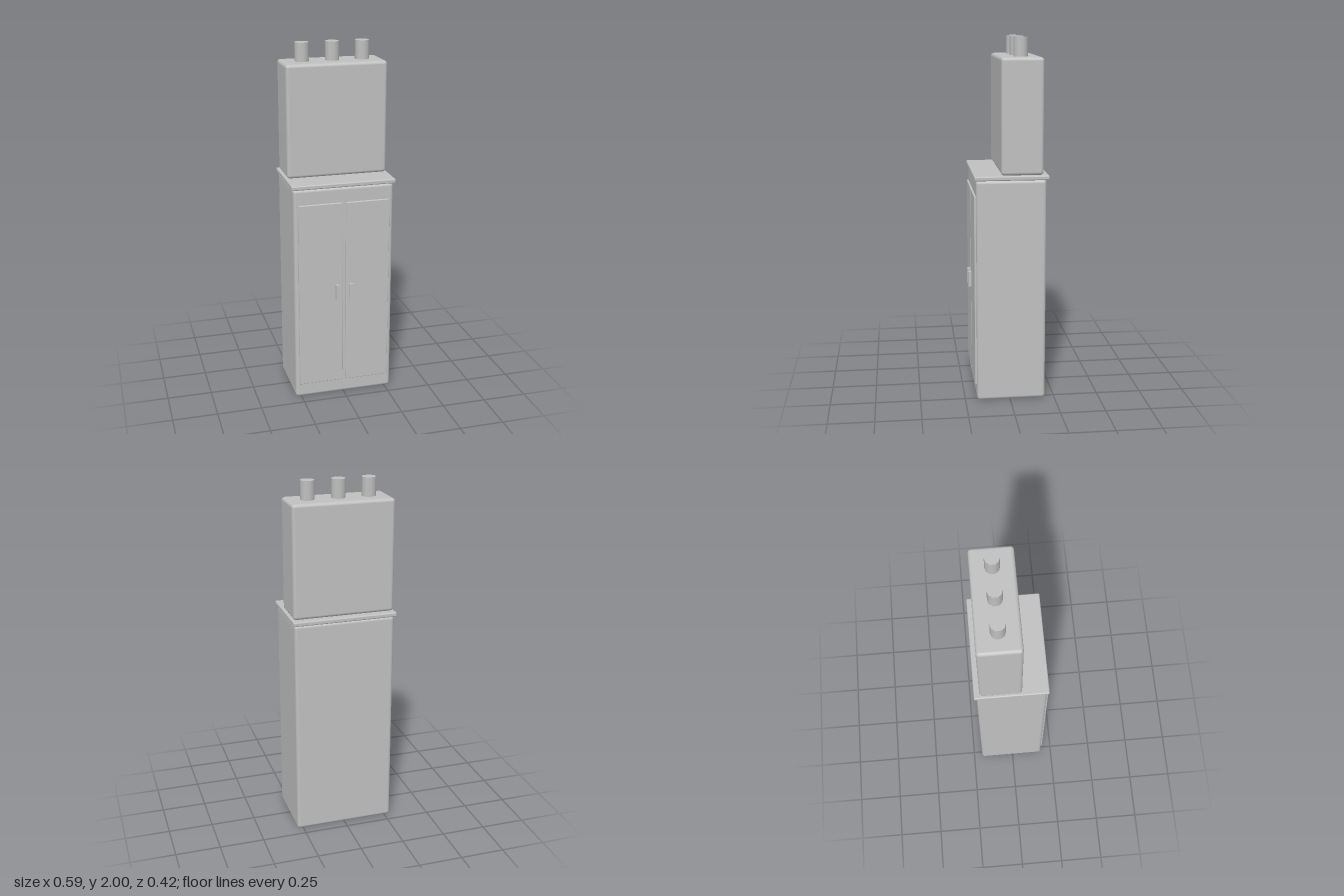
import * as THREE from 'three';
import { RoundedBoxGeometry } from 'three/addons/geometries/RoundedBoxGeometry.js';

const gray = new THREE.MeshStandardMaterial({ color: 0xc0c0c0 });
gray.name = 'light gray';

// Box given by its [min, max] range on each axis, with rounded edges
function addBlock(parent, name, [x0, x1], [y0, y1], [z0, z1], radius) {
  const w = x1 - x0, h = y1 - y0, d = z1 - z0;
  const geometry = radius > 0
    ? new RoundedBoxGeometry(w, h, d, 3, radius)
    : new THREE.BoxGeometry(w, h, d);
  const mesh = new THREE.Mesh(geometry, gray);
  mesh.name = name;
  mesh.position.set((x0 + x1) / 2, (y0 + y1) / 2, (z0 + z1) / 2);
  parent.add(mesh);
}

export function createModel() {
  const group = new THREE.Group();
  group.name = 'cabinetWithTank';

  // Base cabinet, overhanging worktop and the tank set towards the back
  addBlock(group, 'cabinet', [-0.283, 0.283], [0, 1.247], [-0.198, 0.184], 0.018);
  addBlock(group, 'worktop', [-0.293, 0.293], [1.247, 1.272], [-0.212, 0.194], 0.007);
  addBlock(group, 'tank', [-0.283, 0.283], [1.272, 1.897], [-0.181, 0.048], 0.018);

  // Pair of doors with handles beside the middle gap
  for (const [side, s] of [['left', 1], ['right', -1]]) {
    const range = (a, b) => (s > 0 ? [a, b] : [-b, -a]);
    addBlock(group, side + 'Door', range(0.01, 0.26), [0.083, 1.16], [0.17, 0.194], 0.004);
    addBlock(group, side + 'Handle', range(0.029, 0.051), [0.595, 0.682], [0.185, 0.212], 0);
  }

  // Three ten-sided pipe stubs on top of the tank
  const pipeGeometry = new THREE.CylinderGeometry(0.039, 0.039, 0.12, 10);
  for (const x of [-0.17, 0, 0.17]) {
    const pipe = new THREE.Mesh(pipeGeometry, gray);
    pipe.name = 'pipe';
    pipe.position.set(x, 1.94, -0.067);
    group.add(pipe);
  }
  return group;
}
